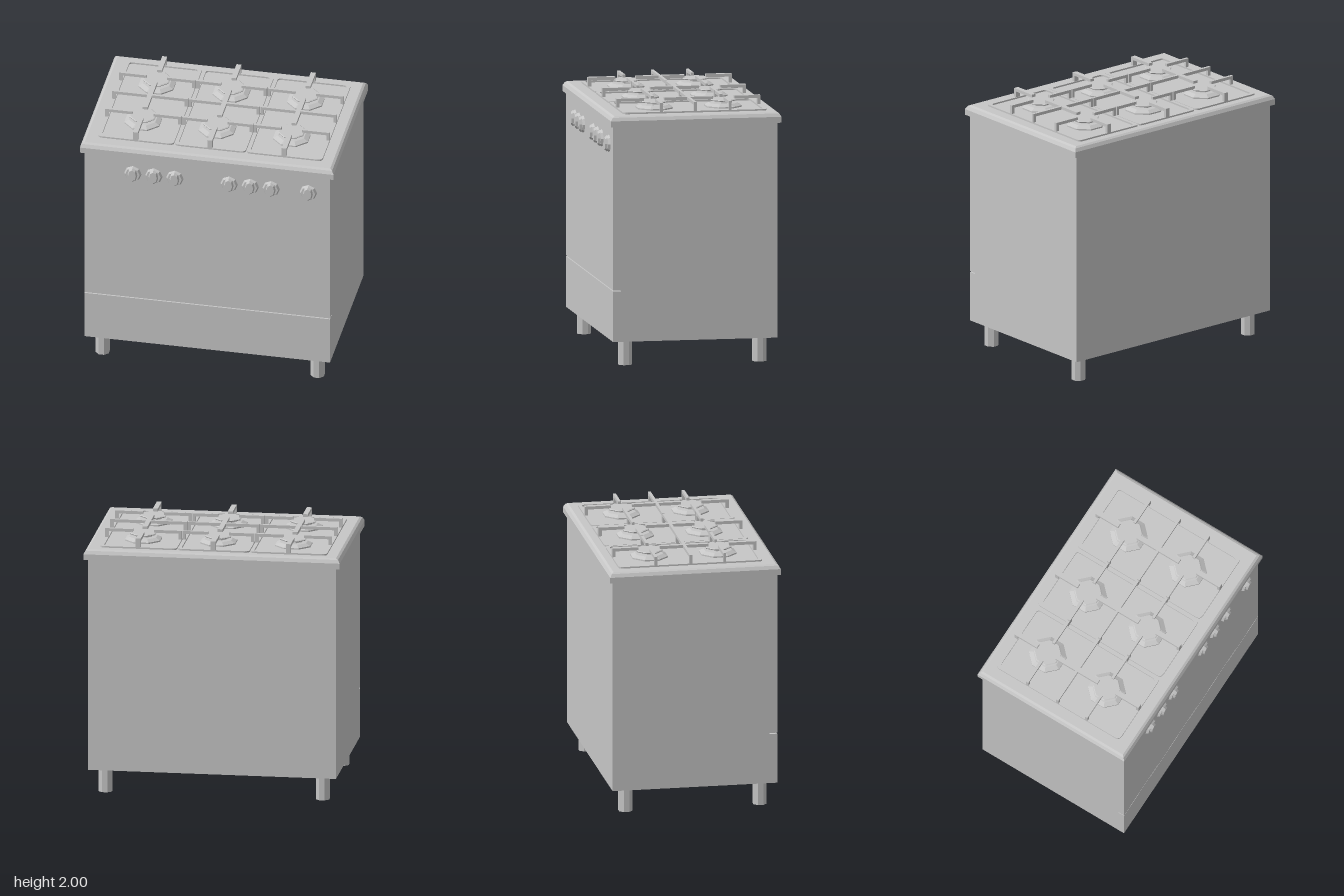
import * as THREE from 'three';

export function createModel() {
  const model = new THREE.Group();
  const steel = new THREE.MeshStandardMaterial({ color: 0xc6c6c6, flatShading: true, side: THREE.DoubleSide });
  steel.name = 'brushed steel';

  function add(name, geometry, x = 0, y = 0, z = 0, parent = model) {
    const mesh = new THREE.Mesh(geometry, steel);
    mesh.name = name;
    mesh.position.set(x, y, z);
    parent.add(mesh);
    return mesh;
  }
  // box given by its limits
  function block(name, x0, x1, y0, y1, z0, z1, parent) {
    return add(name, new THREE.BoxGeometry(x1 - x0, y1 - y0, z1 - z0),
      (x0 + x1) / 2, (y0 + y1) / 2, (z0 + z1) / 2, parent);
  }
  // faceted turned part with flats facing the axes
  function turned(points, sides) {
    return new THREE.LatheGeometry(points.map(p => new THREE.Vector2(...p)), sides, Math.PI / sides).toNonIndexed();
  }
  function roundedRect(path, w, d, r) {
    path.moveTo(-w + r, -d);
    path.lineTo(w - r, -d); path.quadraticCurveTo(w, -d, w, -d + r);
    path.lineTo(w, d - r); path.quadraticCurveTo(w, d, w - r, d);
    path.lineTo(-w + r, d); path.quadraticCurveTo(-w, d, -w, d - r);
    path.lineTo(-w, -d + r); path.quadraticCurveTo(-w, -d, -w + r, -d);
    return path;
  }
  function ring(w, d, r, band, thickness) {
    const shape = roundedRect(new THREE.Shape(), w, d, r);
    shape.holes.push(roundedRect(new THREE.Path(), w - band, d - band, r * 0.7));
    return new THREE.ExtrudeGeometry(shape, { depth: thickness, bevelEnabled: false, curveSegments: 3 });
  }

  // sheet-metal body, open underneath; sides stop behind the door
  const side = new THREE.Shape([[-0.64, 0.19], [0.63, 0.19], [0.63, 0.577], [0.57, 0.577], [0.57, 1.84], [-0.64, 1.84]]
    .map(p => new THREE.Vector2(...p)));
  for (const s of [-1, 1]) {
    const wall = add(s > 0 ? 'leftWall' : 'rightWall', new THREE.ShapeGeometry(side), s * 0.95);
    wall.rotation.y = -Math.PI / 2;
  }
  add('backWall', new THREE.PlaneGeometry(1.9, 1.65), 0, 1.015, -0.64).rotation.y = Math.PI;
  add('drawerFront', new THREE.PlaneGeometry(1.9, 0.387), 0, 0.3835, 0.63);
  add('drawerLedge', new THREE.PlaneGeometry(1.9, 0.06), 0, 0.577, 0.6).rotation.x = -Math.PI / 2;
  add('grooveBack', new THREE.PlaneGeometry(1.9, 0.008), 0, 0.581, 0.57);
  block('ovenDoor', -0.95, 0.95, 0.585, 1.84, 0.57, 0.63);
  add('doorInnerFrame', ring(0.949, 0.627, 0.002, 0.05, 0.006), 0, 1.2125, 0.564);

  // hob slab with rounded-over upper edge
  const hob = turned([[0, 1.84], [1, 1.84], [1, 1.885], [0.985, 1.91], [0.968, 1.92], [0, 1.92]], 4);
  const pos = hob.attributes.position;
  for (let i = 0; i < pos.count; i++) {
    const r = Math.hypot(pos.getX(i), pos.getZ(i));
    if (r < 0.01) continue;
    pos.setX(i, Math.sign(pos.getX(i)) * (r - 0.018));
    pos.setZ(i, Math.sign(pos.getZ(i)) * (r - 0.342));
  }
  hob.computeVertexNormals();
  add('hobTop', hob, 0, 0, -0.006);

  // burners
  const burnerShape = turned([[0.146, 1.92], [0.146, 1.93], [0.11, 1.948], [0.07, 1.95], [0.065, 1.962],
    [0.104, 1.967], [0.108, 1.974], [0.1, 1.979], [0, 1.979]], 8);
  const columns = [-0.575, 0, 0.575];
  const rows = [-0.29, 0.24];
  for (const x of columns) for (const z of rows) add('burner', burnerShape, x, 0, z);

  // pan supports: low ring, raised bars and fingers on short posts
  const low = 1.92, under = 1.977, top = 2, mid = -0.02, back = -0.575, front = 0.535;
  columns.forEach((cx, i) => {
    const grate = new THREE.Group();
    grate.name = 'panSupport';
    model.add(grate);
    const half = i === 1 ? 0.275 : 0.294;
    const x0 = cx - half, x1 = cx + half;
    add('baseRing', ring(half, (front - back) / 2, 0.035, 0.028, 0.012), cx, low + 0.012, mid, grate).rotation.x = Math.PI / 2;
    // bars running front to back
    for (const [a, b] of [[back, -0.375], [-0.21, 0.165], [0.325, front]])
      block('longBar', cx - 0.019, cx + 0.019, under, top, a, b, grate);
    for (const z of [back, front - 0.024])
      block('post', cx - 0.019, cx + 0.019, low, under, z, z + 0.024, grate);
    // bars running side to side
    block('middleBar', x0, x1, under, top, mid - 0.011, mid + 0.011, grate);
    for (const z of [...rows, mid]) {
      if (z !== mid) {
        block('finger', x0, cx - 0.08, under, top, z - 0.011, z + 0.011, grate);
        block('finger', cx + 0.08, x1, under, top, z - 0.011, z + 0.011, grate);
      }
      for (const x of [x0, x1 - 0.024])
        block('post', x, x + 0.024, low, under, z - 0.011, z + 0.011, grate);
    }
  });

  // control knobs: faceted disc with a raised oval grip
  const disc = new THREE.CylinderGeometry(0.056, 0.067, 0.018, 8);
  const grip = new THREE.CylinderGeometry(0.048, 0.062, 0.018, 8);
  grip.scale(0.62, 1, 1);
  for (const x of [-0.575, -0.413, -0.25, 0.17, 0.333, 0.495, 0.783]) {
    const knob = new THREE.Group();
    knob.name = 'knob';
    knob.position.set(x, 1.69, 0.63);
    knob.rotation.x = Math.PI / 2;
    model.add(knob);
    add('knobDisc', disc, 0, 0.009, 0, knob);
    add('knobGrip', grip, 0, 0.026, 0, knob);
  }

  // open tubular legs
  const leg = new THREE.CylinderGeometry(0.055, 0.055, 0.19, 8, 1, true, Math.PI / 8);
  for (const x of [-0.832, 0.832]) for (const z of [-0.52, 0.515]) add('leg', leg, x, 0.095, z);

  return model;
}
